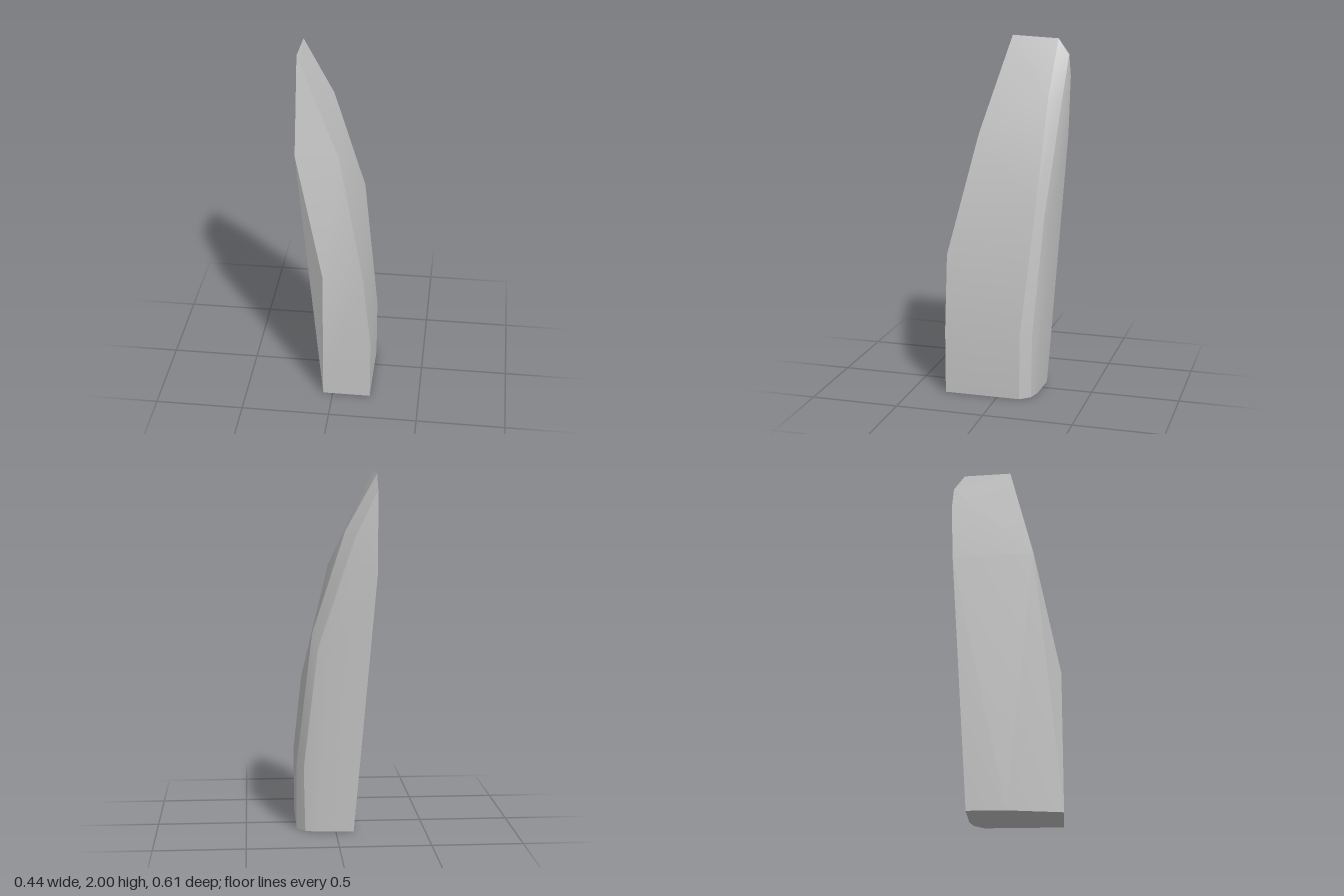
import * as THREE from 'three';
import { ConvexGeometry } from 'three/addons/geometries/ConvexGeometry.js';
import { toCreasedNormals } from 'three/addons/utils/BufferGeometryUtils.js';

// Long edges of the convex blade, each listed from bottom to top as [x, y, z]
const edges = {
  frontOuter: [[0.217, 0, 0.305], [0.217, 0.37, 0.305], [0.17, 0.8, 0.305], [0.02, 1.47, 0.16], [-0.22, 2, 0.03]],
  frontInner: [[-0.055, 0, 0.305], [-0.055, 0.8, 0.305], [-0.22, 1.47, 0.16]],
  innerFoot: [[-0.1, 0, 0]],
  backOuter: [[0.217, 0, -0.13], [0.217, 0.36, -0.13], [0.13, 1.12, -0.2], [-0.05, 1.68, -0.22], [-0.22, 1.987, -0.235]],
  backBevel: [[0.17, 0, -0.185], [0.178, 0.36, -0.193], [0.1, 1.04, -0.24], [-0.1, 1.65, -0.285], [-0.22, 1.9, -0.297]],
  backRidge: [[0.1, 0, -0.205], [0.04, 1.03, -0.258], [-0.15, 1.65, -0.3], [-0.22, 1.78, -0.307]],
  backInner: [[-0.1, 0, -0.212], [-0.22, 1.45, -0.297]],
};

export function createModel() {
  const model = new THREE.Group();
  model.name = 'curvedBlade';

  const grey = new THREE.MeshStandardMaterial({ color: 0xc4c4c4 });
  grey.name = 'light grey';

  // Skin stretched over the edges, smooth across the shallow bends only
  const points = Object.values(edges).flat().map((p) => new THREE.Vector3(...p));
  const blade = new THREE.Mesh(toCreasedNormals(new ConvexGeometry(points), 0.35), grey);
  blade.name = 'blade';
  model.add(blade);

  return model;
}
